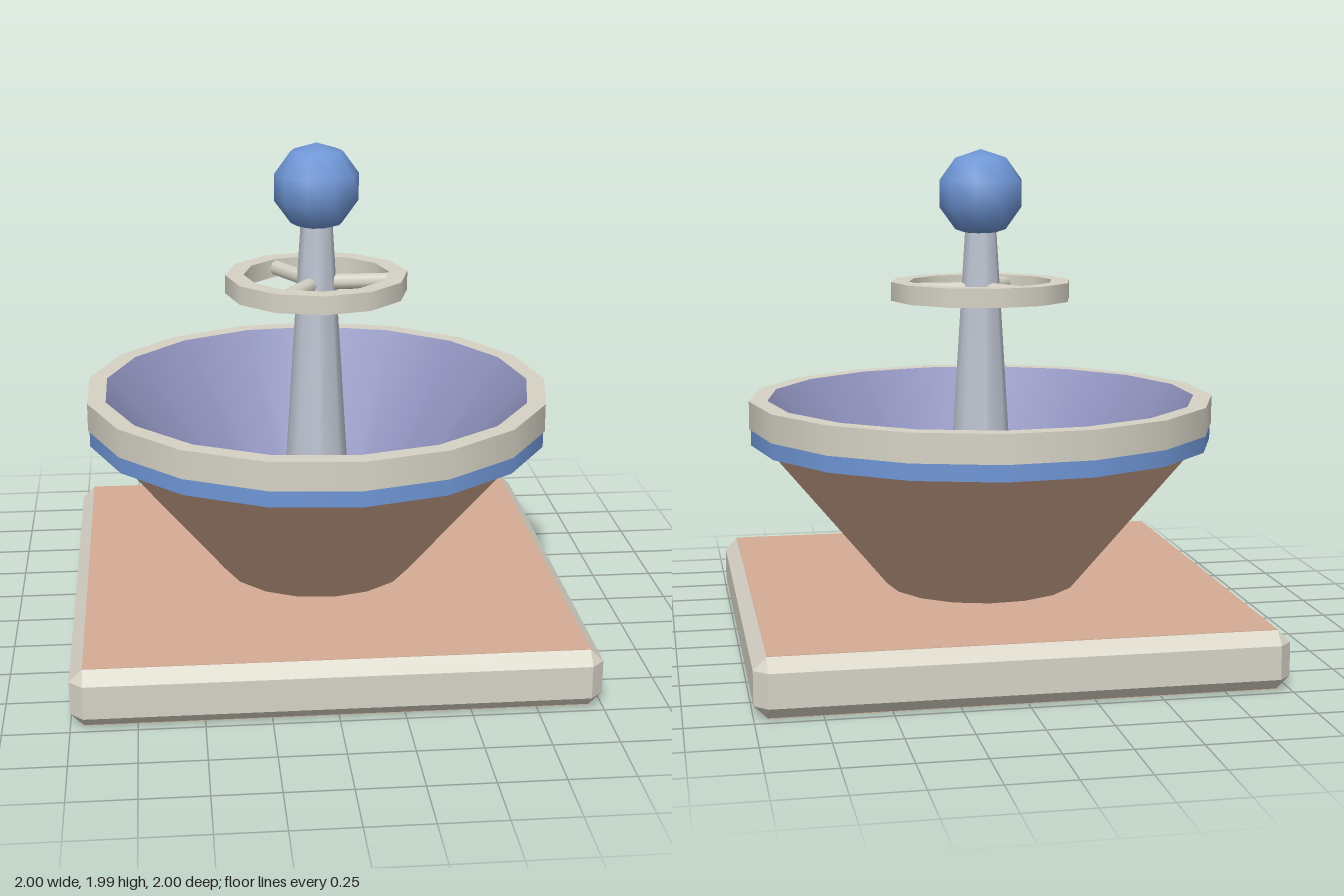
import * as THREE from 'three';
import { mergeGeometries } from 'three/addons/utils/BufferGeometryUtils.js';
import { ConvexGeometry } from 'three/addons/geometries/ConvexGeometry.js';

const material = (name, color) => {
  const m = new THREE.MeshStandardMaterial({ color });
  m.name = name;
  return m;
};

// Turned surface with sharp profile corners and smooth sides, first vertex on +x
function turned(profile, sides) {
  const strips = [];
  for (let i = 0; i < profile.length - 1; i++) {
    const pair = [profile[i], profile[i + 1]].map(([r, y]) => new THREE.Vector2(r, y));
    strips.push(new THREE.LatheGeometry(pair, sides, Math.PI / 2));
  }
  return mergeGeometries(strips);
}

// Closed ring with a rectangular section
const ringProfile = (inner, outer, y0, y1) =>
  [[inner, y0], [outer, y0], [outer, y1], [inner, y1], [inner, y0]];

export function createModel() {
  const model = new THREE.Group();
  model.name = 'fountain';

  const cream = material('cream stone', 0xd6d2c5);
  const tan = material('tan clay', 0xd5ac94);
  const blue = material('blue glaze', 0x6f96d6);
  const purple = material('purple lining', 0x8c8fba);
  const grey = material('pale blue grey', 0xbfc6d3);

  const add = (name, geometry, mat, parent = model) => {
    const mesh = new THREE.Mesh(geometry, mat);
    mesh.name = name;
    parent.add(mesh);
    return mesh;
  };

  // Square plinth with every edge and corner chamfered
  const corners = [];
  for (const sx of [-1, 1]) {
    for (const sz of [-1, 1]) {
      for (const y of [0.05, 0.18]) {
        corners.push(new THREE.Vector3(sx, y, sz * 0.95));
        corners.push(new THREE.Vector3(sx * 0.95, y, sz));
      }
      for (const y of [0.002, 0.228]) corners.push(new THREE.Vector3(sx * 0.95, y, sz * 0.95));
    }
  }
  add('plinthTrim', new ConvexGeometry(corners), cream);
  for (const [name, y] of [['plinthTop', 0.228], ['plinthUnderside', 0.002]]) {
    add(name, new THREE.BoxGeometry(1.9, 0.004, 1.9), tan).position.y = y;
  }

  // Bowl: clay outside, lining inside, glazed band and stone rim
  const SIDES = 17;
  add('bowlOutside', turned([[0.385, 0.225], [0.885, 0.825], [0.925, 0.885]], SIDES), tan);
  add('bowlLining', turned([[0.868, 1], [0.3, 0.3], [0, 0.3]], SIDES), purple);
  add('bowlBand', turned([[0.88, 0.822], [0.934, 0.822], [0.934, 0.887]], SIDES), blue);
  add('bowlRim', turned([[0.9, 0.887], [0.94, 0.887], [0.94, 1], [0.866, 1]], SIDES), cream);

  // Tapered post
  const post = add('post', new THREE.CylinderGeometry(0.064, 0.15, 1.38, 8), grey);
  post.position.y = 0.98;

  // Ring around the post, held by three spokes
  const wheel = new THREE.Group();
  wheel.name = 'spokedRing';
  model.add(wheel);
  add('ring', turned(ringProfile(0.292, 0.366, 1.392, 1.467), 12), cream, wheel);
  for (let i = 0; i < 3; i++) {
    const arm = new THREE.Group();
    arm.name = 'spokeArm';
    arm.rotation.y = (i * Math.PI * 2) / 3;
    wheel.add(arm);
    const spoke = add('spoke', new THREE.CylinderGeometry(0.032, 0.032, 0.27, 8), cream, arm);
    spoke.rotation.z = Math.PI / 2;
    spoke.position.set(0.165, 1.43, 0);
  }

  // Ball finial
  const ball = add('ball', new THREE.SphereGeometry(0.176, 10, 5), blue);
  ball.position.y = 1.817;

  return model;
}
